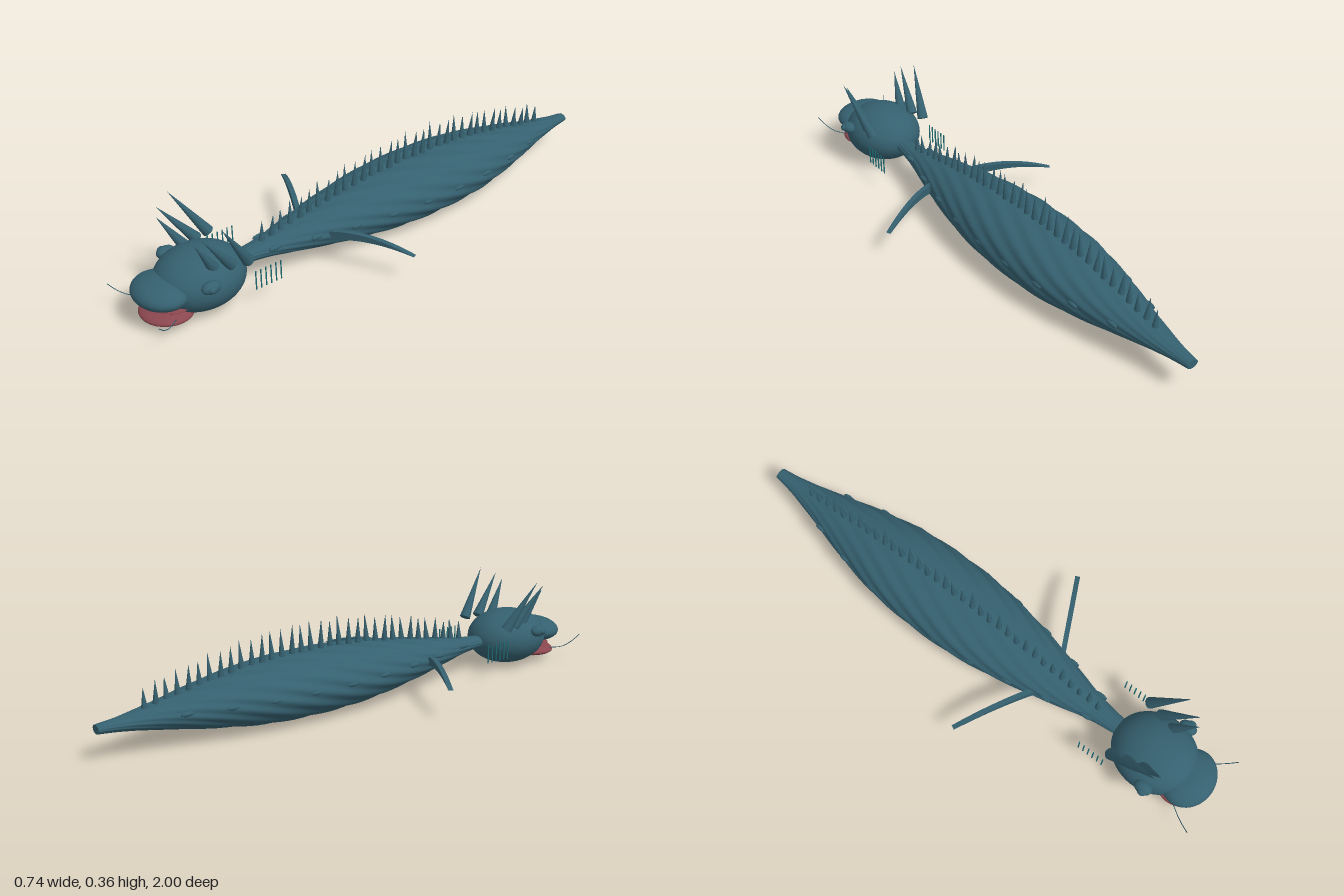
import * as THREE from 'three';

const skin = new THREE.MeshStandardMaterial({ color: 0x35606f });
skin.name = 'slate blue skin';
const lip = new THREE.MeshStandardMaterial({ color: 0x8a464e });
lip.name = 'dull red mouth';
const gill = new THREE.MeshStandardMaterial({ color: 0x1f7078 });
gill.name = 'teal gill';

const MID_Y = 0.113;
const SQUASH = 0.68;

// half width of the body along its length, as (z, radius) points
const bodyProfile = [
  [0.62, 0.03], [0.5, 0.045], [0.4, 0.07], [0.2, 0.118], [0, 0.152], [-0.17, 0.163],
  [-0.4, 0.153], [-0.6, 0.115], [-0.8, 0.062], [-0.93, 0.032], [-1, 0.022],
];
const bodyCurve = new THREE.CatmullRomCurve3(bodyProfile.map(([z, r]) => new THREE.Vector3(r, 0, z)));
const bodySamples = bodyCurve.getPoints(300);

function bodyRadius(z) {
  const i = Math.max(1, bodySamples.findIndex((p) => p.z <= z));
  const a = bodySamples[i - 1], b = bodySamples[i];
  return THREE.MathUtils.mapLinear(z, a.z, b.z, a.x, b.x);
}

function add(parent, name, geometry, material) {
  const mesh = new THREE.Mesh(geometry, material);
  mesh.name = name;
  parent.add(mesh);
  return mesh;
}

function ellipsoid(parent, name, material, [x, y, z], [rx, ry, rz], detail = 32) {
  const mesh = add(parent, name, new THREE.SphereGeometry(1, detail, detail / 2), material);
  mesh.position.set(x, y, z);
  mesh.scale.set(rx, ry, rz);
  return mesh;
}

// cone from a base point to a tip point
function spike(parent, name, base, tip, radius, sides) {
  const from = new THREE.Vector3(...base);
  const dir = new THREE.Vector3(...tip).sub(from);
  const length = dir.length();
  const mesh = add(parent, name, new THREE.ConeGeometry(radius, length, sides).translate(0, length / 2, 0), skin);
  mesh.position.copy(from);
  mesh.quaternion.setFromUnitVectors(new THREE.Vector3(0, 1, 0), dir.normalize());
  return mesh;
}

// long body with shallow ridges twisting around it
function bodyGeometry() {
  const rings = 160, sides = 96;
  const geometry = new THREE.CylinderGeometry(1, 1, 1, sides, rings);
  geometry.rotateX(Math.PI / 2);
  const pos = geometry.attributes.position;
  for (let i = 0; i < pos.count; i++) {
    const z = THREE.MathUtils.lerp(-1, 0.62, pos.getZ(i) + 0.5);
    const angle = Math.atan2(pos.getY(i), pos.getX(i));
    const spread = Math.hypot(pos.getX(i), pos.getY(i));
    const r = spread * bodyRadius(z) * (1 + 0.018 * Math.sin(14 * angle - 38 * z));
    pos.setXYZ(i, r * Math.cos(angle), MID_Y + SQUASH * r * Math.sin(angle), z);
  }
  geometry.computeVertexNormals();
  return geometry;
}

// arched blade fin, growing along +x
function finGeometry() {
  const shape = new THREE.Shape();
  shape.moveTo(0, -0.025);
  shape.quadraticCurveTo(0.14, 0.02, 0.31, -0.017);
  shape.quadraticCurveTo(0.15, 0.043, 0, 0.01);
  shape.closePath();
  return new THREE.ExtrudeGeometry(shape, { depth: 0.018, bevelEnabled: false, curveSegments: 20 })
    .translate(0, 0, -0.009);
}

function buildSide(parent, s) {
  const side = s > 0 ? 'left' : 'right';

  // eyes
  ellipsoid(parent, side + 'Eye', skin, [s * 0.134, 0.152, 0.79], [0.024, 0.021, 0.034], 24);
  ellipsoid(parent, side + 'Pupil', skin, [s * 0.153, 0.154, 0.795], [0.011, 0.012, 0.016], 16);

  // swept horns
  const horns = [
    [[0.116, 0.178, 0.635], [0.157, 0.356, 0.75]],
    [[0.102, 0.18, 0.69], [0.133, 0.333, 0.81]],
    [[0.084, 0.18, 0.745], [0.111, 0.31, 0.825]],
  ];
  horns.forEach(([b, t], i) => spike(parent, side + 'Horn' + (i + 1),
    [s * b[0], b[1], b[2]], [s * t[0], t[1], t[2]], 0.021, 12));

  // whisker
  const path = new THREE.CatmullRomCurve3([
    new THREE.Vector3(s * 0.09, 0.055, 0.9),
    new THREE.Vector3(s * 0.12, 0.06, 0.945),
    new THREE.Vector3(s * 0.14, 0.08, 0.975),
    new THREE.Vector3(s * 0.157, 0.108, 1),
  ]);
  add(parent, side + 'Whisker', new THREE.TubeGeometry(path, 16, 0.0015, 6), skin);

  // gill filaments
  for (let i = 0; i < 6; i++) {
    const bar = add(parent, side + 'GillFilament' + (i + 1), new THREE.CylinderGeometry(0.0025, 0.0025, 0.07, 6), gill);
    bar.position.set(s * 0.14, 0.108, 0.525 + i * 0.02);
  }

  // pectoral fin
  const fin = add(parent, side + 'Fin', finGeometry(), skin);
  fin.position.set(s * 0.09, 0.124, 0.28);
  fin.rotation.y = s > 0 ? 0.47 : Math.PI - 0.47;

  // small bumps along the flank
  for (let i = 0; i < 9; i++) {
    const z = 0.48 - i * 0.15;
    ellipsoid(parent, side + 'FlankBump' + (i + 1), skin,
      [s * bodyRadius(z) * 0.97, 0.126, z], [0.008, 0.009, 0.026], 12);
  }
}

export function createModel() {
  const model = new THREE.Group();
  model.name = 'seaSerpent';

  add(model, 'body', bodyGeometry(), skin);

  // head, snout and mouth
  const head = new THREE.Group();
  head.name = 'head';
  model.add(head);
  ellipsoid(head, 'skull', skin, [0, 0.114, 0.75], [0.14, 0.105, 0.16], 48);
  ellipsoid(head, 'snout', skin, [0, 0.119, 0.895], [0.111, 0.046, 0.092], 40);
  ellipsoid(head, 'upperLip', lip, [0, 0.073, 0.865], [0.092, 0.008, 0.075]);
  ellipsoid(head, 'lowerJaw', lip, [0, 0.04, 0.88], [0.097, 0.022, 0.09]);

  // row of spines down the back
  const spines = new THREE.Group();
  spines.name = 'backSpines';
  model.add(spines);
  for (let i = 0; i < 34; i++) {
    const z = 0.5 - i * 0.0403;
    const top = MID_Y + SQUASH * bodyRadius(z);
    const height = 0.072 + 0.03 * Math.sin(Math.PI * i / 33) + 0.006 * Math.sin(i * 2.4);
    spike(spines, 'spine' + (i + 1), [0, top - 0.012, z], [0.01 * Math.sin(i * 1.9), top + height, z - 0.004], 0.013, 8);
  }

  buildSide(model, 1);
  buildSide(model, -1);
  return model;
}
